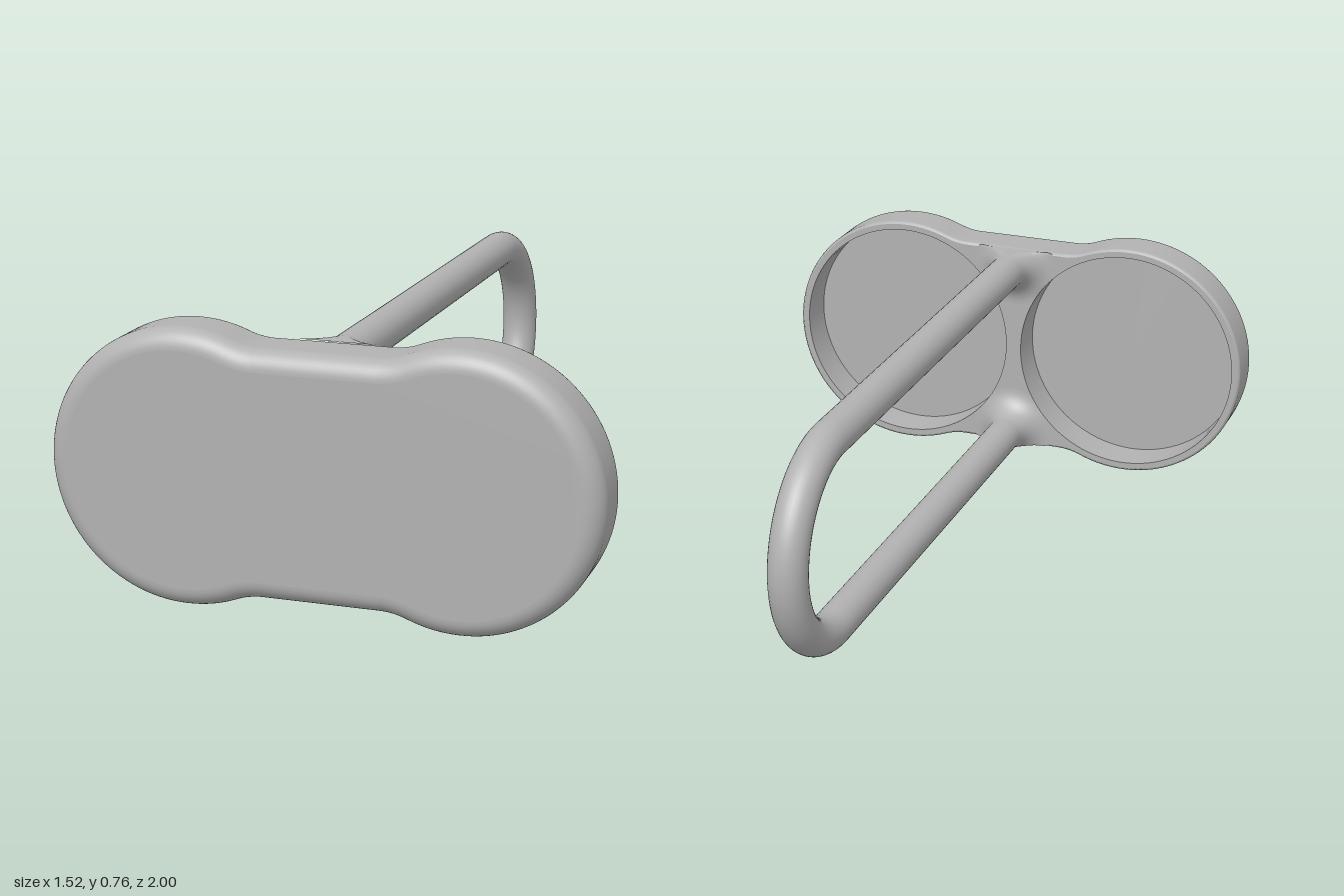
import * as THREE from 'three';
import { mergeVertices } from 'three/addons/utils/BufferGeometryUtils.js';

const CX = 0.38, R = 0.382;        // lobe centre and radius
const WAIST = 0.34, BLEND = 0.2;   // half height of the waist, radius of its blend into the lobes
const CUP = 0.355, DEPTH = 0.12;   // recess radius and depth
const BACK = 0.83, FRONT = 1;      // z of the plate faces
const TUBE = 0.055, BEND = WAIST - TUBE, BEND_Z = -0.66;

// Plate outline with outward normals, counter-clockwise, built from one mirrored quarter
function outline() {
  const fy = WAIST + BLEND;
  const dx = Math.sqrt((R + BLEND) ** 2 - fy ** 2);
  const phi = Math.atan2(fy, -dx);
  const q = [];
  for (let i = 0; i <= 36; i++) {
    const a = phi * i / 36, c = Math.cos(a), s = Math.sin(a);
    q.push([CX + R * c, R * s, c, s]);
  }
  for (let i = 1; i <= 8; i++) {
    const a = phi - Math.PI + (Math.PI / 2 - phi) * i / 8, c = Math.cos(a), s = Math.sin(a);
    q.push([CX - dx + BLEND * c, fy + BLEND * s, -c, -s]);
  }
  const flip = (list, sx, sy) => list.map(([x, y, nx, ny]) => [x * sx, y * sy, nx * sx, ny * sy]);
  const rev = [...q].reverse();
  return [...q, ...flip(rev, -1, 1), ...flip(q.slice(1), -1, -1), ...flip(rev.slice(0, -1), 1, -1)];
}

const inset = (pts, d) => pts.map(([x, y, nx, ny]) => new THREE.Vector2(x - nx * d, y - ny * d));

// Outer wall: rings of the outline, slightly eased at the back and rounded at the front
function wallGeometry(pts) {
  const round = 0.055, rings = [[0.008, BACK], [0.002, BACK + 0.003], [0, BACK + 0.01]];
  for (let i = 0; i <= 10; i++) {
    const a = Math.PI / 2 * i / 10;
    rings.push([round * (1 - Math.cos(a)), FRONT - round + round * Math.sin(a)]);
  }
  const pos = [], index = [], n = pts.length;
  rings.forEach(([d, z], j) => {
    inset(pts, d).forEach((p, i) => {
      pos.push(p.x, p.y, z);
      if (j === rings.length - 1) return;
      const a = j * n + i, b = j * n + (i + 1) % n;
      index.push(a, b, a + n, b, b + n, a + n);
    });
  });
  const g = new THREE.BufferGeometry();
  g.setAttribute('position', new THREE.Float32BufferAttribute(pos, 3));
  g.setIndex(index);
  g.computeVertexNormals();
  return g;
}

// Flared foot of a handle bar, trimmed to the waist edge and to the recesses
function footGeometry(side) {
  const f = 0.08, profile = [];
  for (let i = 0; i <= 12; i++) {
    const t = Math.PI / 2 * i / 12;
    profile.push(new THREE.Vector2(TUBE + f * (1 - Math.sin(t)), f * (1 - Math.cos(t))));
  }
  let g = new THREE.LatheGeometry(profile, 48);
  g.rotateX(-Math.PI / 2).translate(0, side * BEND, BACK);
  const p = g.attributes.position;
  for (let i = 0; i < p.count; i++) {
    let x = p.getX(i), y = p.getY(i);
    if (y * side > WAIST) y = side * WAIST;
    const cx = x < 0 ? -CX : CX, d = Math.hypot(x - cx, y);
    if (d < CUP) {
      x = cx + (x - cx) * CUP / d;
      y *= CUP / d;
    }
    p.setXY(i, x, y);
  }
  g.deleteAttribute('uv');
  g.deleteAttribute('normal');
  g = mergeVertices(g);
  g.computeVertexNormals();
  return g;
}

export function createModel() {
  const grey = new THREE.MeshStandardMaterial({ color: 0xb2b2b2 });
  grey.name = 'grey';
  const model = new THREE.Group();
  model.name = 'handledPlate';
  const plate = new THREE.Group(), handle = new THREE.Group();
  plate.name = 'plate';
  handle.name = 'handle';
  plate.position.y = handle.position.y = R;
  model.add(plate, handle);

  const add = (group, name, geometry) => {
    const m = new THREE.Mesh(geometry, grey);
    m.name = name;
    group.add(m);
  };

  // Plate: wall, flat front, back rim with two round openings
  const pts = outline();
  add(plate, 'plateWall', wallGeometry(pts));
  add(plate, 'plateFront', new THREE.ShapeGeometry(new THREE.Shape(inset(pts, 0.055))).translate(0, 0, FRONT));
  const rim = new THREE.Shape(inset(pts, 0.008));
  for (const s of [-1, 1]) rim.holes.push(new THREE.Path().absarc(s * CX, 0, CUP, 0, Math.PI * 2, true));
  add(plate, 'backRim', new THREE.ShapeGeometry(rim, 48).rotateY(Math.PI).translate(0, 0, BACK));

  // Round recesses: inward-facing wall and floor
  for (const s of [-1, 1]) {
    const side = s > 0 ? 'left' : 'right';
    const wall = new THREE.LatheGeometry([new THREE.Vector2(CUP, DEPTH), new THREE.Vector2(CUP, 0)], 96);
    add(plate, side + 'RecessWall', wall.rotateX(Math.PI / 2).translate(s * CX, 0, BACK));
    add(plate, side + 'RecessFloor',
      new THREE.CircleGeometry(CUP, 96).rotateY(Math.PI).translate(s * CX, 0, BACK + DEPTH));
  }

  // Handle: two bars with flared feet joined by a half-round bend
  const length = BACK - BEND_Z;
  for (const s of [-1, 1]) {
    const place = s > 0 ? 'upper' : 'lower';
    const bar = new THREE.CylinderGeometry(TUBE, TUBE, length, 32, 1, true);
    add(handle, place + 'Bar', bar.rotateX(Math.PI / 2).translate(0, s * BEND, BEND_Z + length / 2));
    add(handle, place + 'Foot', footGeometry(s));
  }
  const bend = new THREE.TorusGeometry(BEND, TUBE, 32, 48, Math.PI);
  add(handle, 'bend', bend.rotateZ(Math.PI / 2).rotateY(-Math.PI / 2).translate(0, 0, BEND_Z));

  return model;
}
